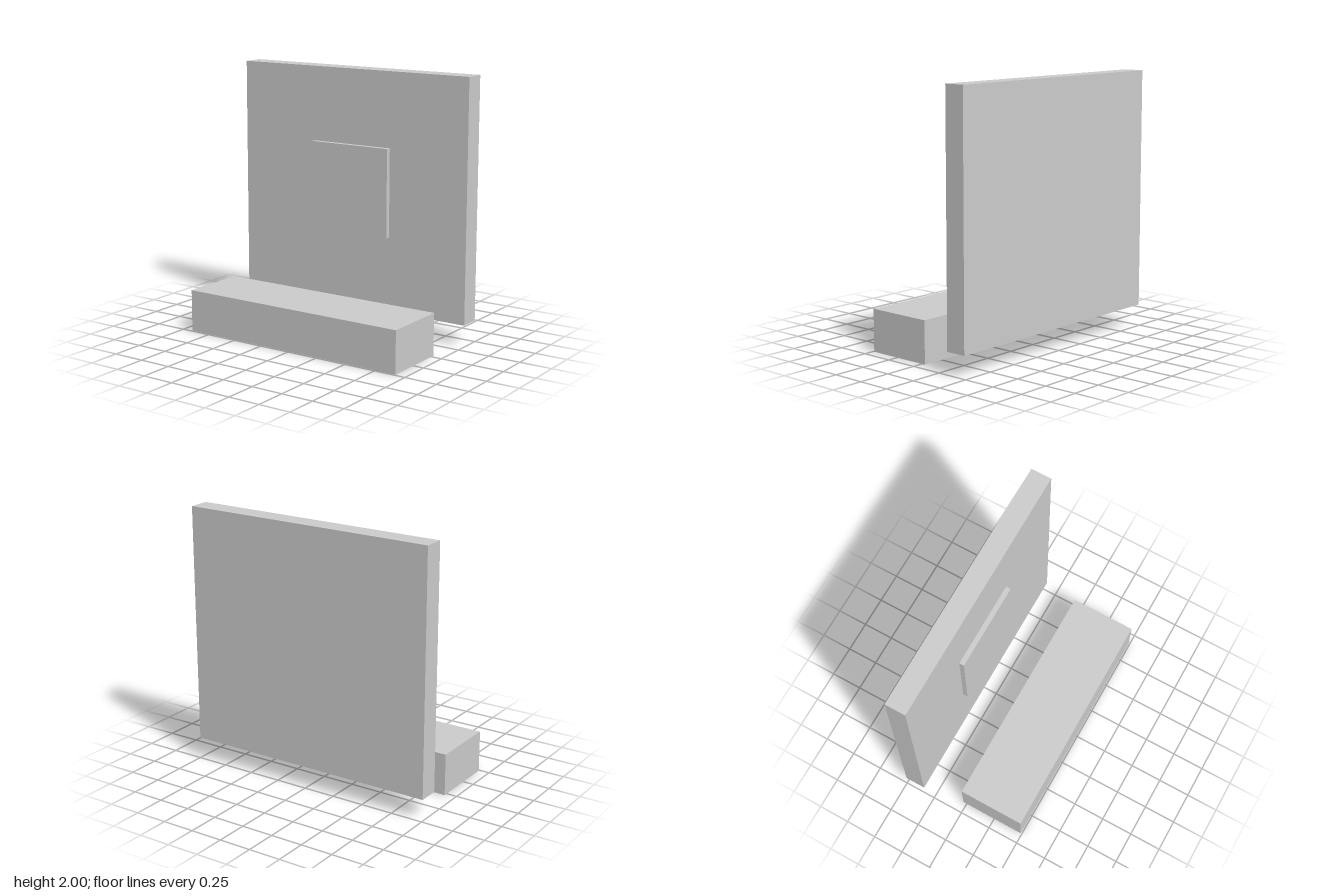
import * as THREE from 'three';

export function createModel() {
  const model = new THREE.Group();
  const material = new THREE.MeshStandardMaterial({ color: 0xcccccc, flatShading: true });

  // Box centred on x, given its width and its y and z extents
  function addBox(name, width, [y0, y1], [z0, z1]) {
    const mesh = new THREE.Mesh(new THREE.BoxGeometry(width, y1 - y0, z1 - z0), material);
    mesh.name = name;
    mesh.position.set(0, (y0 + y1) / 2, (z0 + z1) / 2);
    model.add(mesh);
  }

  // Upright slab at the back
  addBox('backWall', 2, [0.165, 2], [-0.49, -0.33]);
  // Thin square plate on the front of the wall
  addBox('wallPanel', 0.68, [0.745, 1.425], [-0.33, -0.292]);
  // Low block standing free in front of the wall
  addBox('bench', 1.834, [0, 0.322], [-0.03, 0.49]);

  return model;
}
